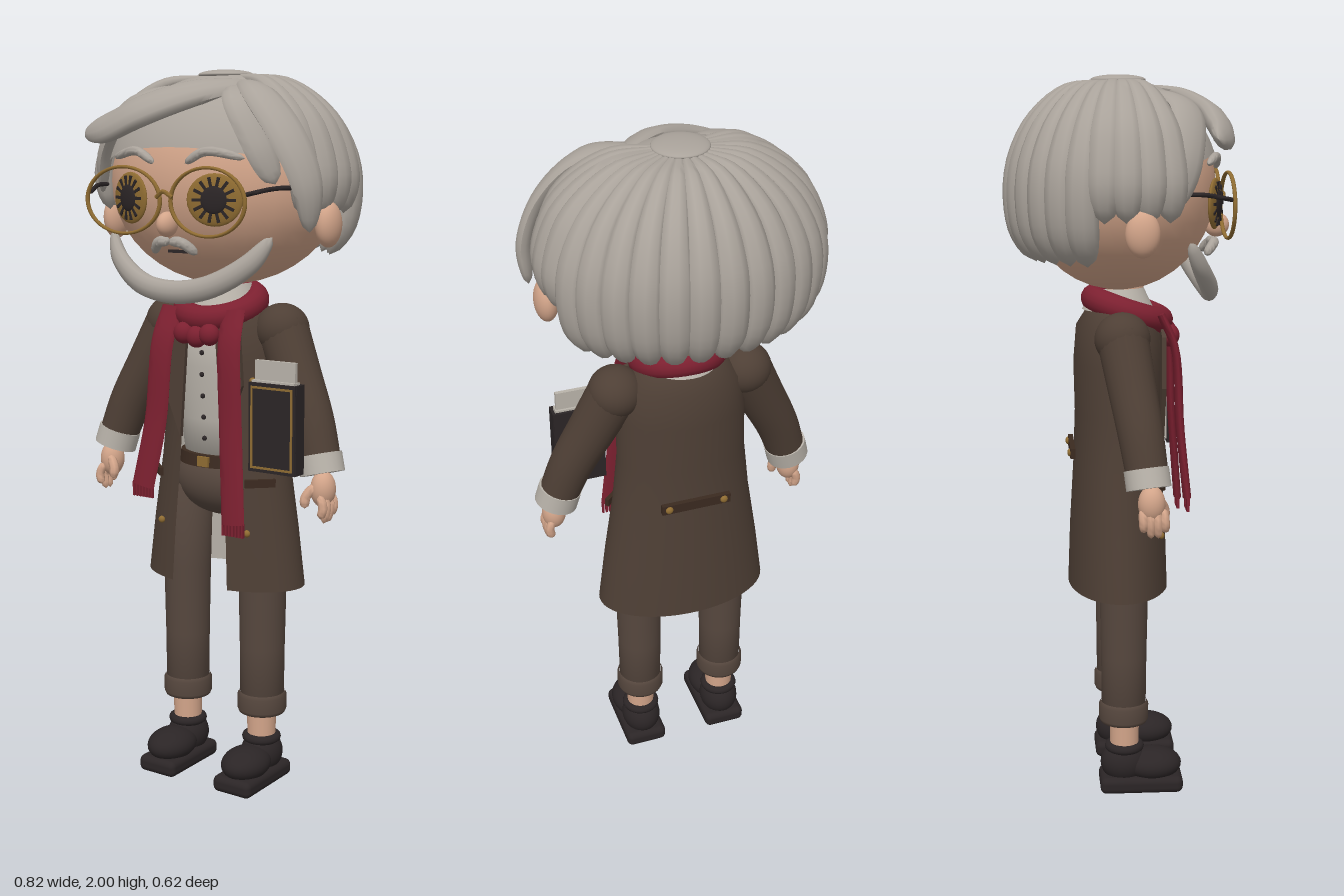
import * as THREE from 'three';
import { toCreasedNormals } from 'three/addons/utils/BufferGeometryUtils.js';
import { RoundedBoxGeometry } from 'three/addons/geometries/RoundedBoxGeometry.js';

const paint = (name, color) => Object.assign(new THREE.MeshStandardMaterial({ color }), { name });
const V = (x, y, z) => new THREE.Vector3(x, y, z);

// Sweeps an ellipse (half width w, half height h) along a curve; n is the height direction.
function loft(points, w, h, n, steps = 20, sides = 12) {
  const curve = new THREE.CatmullRomCurve3(points.map(p => V(...p)));
  const pos = [], index = [];
  for (let i = -1; i <= steps + 1; i++) {
    const t = Math.min(1, Math.max(0, i / steps));
    const end = i < 0 || i > steps ? 0 : 1;
    const p = curve.getPoint(t), T = curve.getTangent(t);
    const N = (typeof n === 'function' ? n(p) : V(...n)).addScaledVector(T, 0);
    N.addScaledVector(T, -N.dot(T)).normalize();
    const B = N.clone().cross(T);
    for (let j = 0; j < sides; j++) {
      const a = j / sides * Math.PI * 2;
      const q = p.clone().addScaledVector(B, end * w(t) * Math.cos(a)).addScaledVector(N, end * h(t) * Math.sin(a));
      pos.push(q.x, q.y, q.z);
    }
  }
  for (let i = 0; i < steps + 2; i++) for (let j = 0; j < sides; j++) {
    const k = (j + 1) % sides, a = i * sides + j, b = i * sides + k;
    index.push(a, b, a + sides, b, b + sides, a + sides);
  }
  const g = new THREE.BufferGeometry();
  g.setAttribute('position', new THREE.Float32BufferAttribute(pos, 3));
  g.setIndex(index);
  return toCreasedNormals(g, 1);
}

export function createModel() {
  const root = new THREE.Group();
  const skin = paint('skin', 0xd3a58a), hair = paint('grey hair', 0xaaa39b), coatMat = paint('coat brown', 0x4e3f35);
  const trousers = paint('trouser brown', 0x56473e), red = paint('scarf red', 0x7c2030), dark = paint('dark leather', 0x2b2526);
  const gold = paint('gold', 0x8f6c32), cream = paint('shirt cream', 0xb9b3aa), strapMat = paint('strap brown', 0x3b2a20);

  const add = (name, geo, mat, x = 0, y = 0, z = 0) => {
    const m = new THREE.Mesh(geo, mat);
    m.name = name;
    m.position.set(x, y, z);
    root.add(m);
    return m;
  };
  const ball = (name, mat, x, y, z, rx, ry, rz) => add(name, new THREE.SphereGeometry(1, 28, 20).scale(rx, ry, rz), mat, x, y, z);
  const box = (name, mat, x, y, z, w, h, d) => add(name, new THREE.BoxGeometry(w, h, d), mat, x, y, z);
  const lathe = (pts, start = 0) => new THREE.LatheGeometry(pts.map(p => new THREE.Vector2(...p)), 48, start, Math.PI * 2 - 2 * start);
  const both = fn => [-1, 1].forEach(s => fn(s, s > 0 ? 'left' : 'right'));
  const round = r => t => r * Math.sqrt(Math.max(0, 1 - (2 * t - 1) ** 4));
  const fromHead = p => p.clone().sub(V(0, 1.68, 0));

  // Head and neck
  ball('head', skin, 0, 1.7, 0, 0.34, 0.28, 0.265);
  add('neck', new THREE.CylinderGeometry(0.05, 0.055, 0.14, 24), skin, 0, 1.39, 0.02);
  ball('nose', skin, 0, 1.595, 0.272, 0.025, 0.033, 0.035);
  box('mouth', dark, 0, 1.522, 0.224, 0.06, 0.008, 0.008);

  // Hair cap, crown and radiating locks
  add('hairCap', new THREE.SphereGeometry(1, 40, 20, 0, Math.PI * 2, 0, Math.PI / 2).rotateX(-0.32).scale(0.35, 0.285, 0.274), hair, 0, 1.703, 0);
  ball('crown', hair, 0, 1.983, 0, 0.075, 0.014, 0.075);
  const profile = [[0.17, 1.975], [0.5, 1.955], [0.82, 1.865], [0.98, 1.73], [0.96, 1.6], [0.83, 1.505]];
  for (let i = 0; i < 20; i++) {
    const u = (i - 9.5) * 0.21, short = Math.abs(u) > 1.35;
    const path = profile.slice(0, short ? 5 : 6).map(([r, y], k) => [0.36 * r * Math.sin(u), y + (short && k === 4 ? 0.02 : 0), -0.285 * r * Math.cos(u)]);
    const width = t => (0.012 + 0.033 * Math.min(1, t * 1.8)) * (t > 0.75 ? Math.sqrt(Math.max(0, 1 - ((t - 0.75) / 0.25) ** 2)) : 1);
    add('hairLock', loft(path, width, t => width(t) * 0.75, fromHead, 22, 10), hair);
  }
  // Swept fringe and parting locks
  add('fringe', loft([[0.12, 1.955, 0.08], [0.02, 1.93, 0.18], [-0.1, 1.885, 0.245], [-0.2, 1.845, 0.255], [-0.3, 1.83, 0.235]],
    t => 0.058 * Math.sqrt(Math.max(0, 1 - (1.9 * t - 0.9) ** 2)), t => 0.03 * Math.sqrt(Math.max(0, 1 - (2 * t - 1) ** 2)), fromHead, 30), hair);
  add('sideSweep', loft([[0.11, 1.96, 0.07], [0.21, 1.92, 0.15], [0.31, 1.82, 0.18], [0.365, 1.7, 0.175], [0.365, 1.58, 0.16]],
    t => 0.055 * Math.sqrt(Math.max(0, 1 - (1.9 * t - 0.9) ** 2)), round(0.022), fromHead, 28), hair);
  add('partingLock', loft([[0.1, 1.95, 0.1], [0.17, 1.9, 0.19], [0.235, 1.8, 0.205], [0.275, 1.7, 0.18]],
    round(0.042), round(0.016), fromHead), hair);
  add('templeLock', loft([[-0.08, 1.95, 0.1], [-0.2, 1.9, 0.165], [-0.29, 1.79, 0.155], [-0.325, 1.66, 0.12]],
    round(0.052), round(0.02), fromHead), hair);

  // Beard along the jaw
  add('beard', loft([[-0.26, 1.565, 0.17], [-0.21, 1.495, 0.205], [-0.11, 1.435, 0.24], [0, 1.417, 0.25], [0.11, 1.435, 0.24], [0.21, 1.495, 0.205], [0.26, 1.565, 0.17]],
    round(0.024), round(0.031), [0, 1, 0.01], 40), hair);

  both((s, side) => {
    // Face details
    ball(side + 'Ear', skin, s * 0.35, 1.595, 0.04, 0.032, 0.06, 0.045);
    add(side + 'Eyebrow', loft([[s * 0.05, 1.752, 0.262], [s * 0.11, 1.782, 0.255], [s * 0.21, 1.765, 0.222]], round(0.012), round(0.012), [0, 0, 1]), hair);
    add(side + 'Moustache', loft([[0, 1.55, 0.262], [s * 0.035, 1.548, 0.26], [s * 0.07, 1.518, 0.235]], round(0.014), round(0.014), [0, 0, 1]), hair);

    // Eye with radiating iris
    const eye = new THREE.Group();
    eye.name = side + 'Eye';
    const part = (name, geo, mat, z) => {
      const m = new THREE.Mesh(geo, mat);
      m.name = name;
      m.position.z = z;
      eye.add(m);
      return m;
    };
    part('iris', new THREE.SphereGeometry(1, 28, 14).scale(0.075, 0.068, 0.012), gold, 0);
    part('pupil', new THREE.SphereGeometry(1, 24, 12).scale(0.036, 0.036, 0.008), dark, 0.009);
    for (let i = 0; i < 14; i++) {
      const a = i / 14 * Math.PI * 2;
      part('irisRay', new THREE.BoxGeometry(0.026, 0.008, 0.008).translate(0.046, 0, 0).rotateZ(a), dark, 0.007);
    }
    eye.position.set(s * 0.135, 1.66, 0.25);
    eye.rotation.y = s * 0.33;
    root.add(eye);

    // Spectacles
    const rim = add(side + 'SpectacleRim', new THREE.TorusGeometry(1, 0.05, 10, 44).scale(0.118, 0.087, 0.11), gold, s * 0.135, 1.655, 0.284);
    rim.rotation.y = s * -0.03;
    add(side + 'SpectacleArm', loft([[s * 0.245, 1.675, 0.282], [s * 0.285, 1.69, 0.2], [s * 0.31, 1.69, 0.1]], () => 0.006, () => 0.006, [0, 1, 0], 10, 8), dark);

    // Arm, cuff and hand
    ball(side + 'Shoulder', coatMat, s * 0.185, 1.305, 0, 0.075, 0.072, 0.075);
    add(side + 'Sleeve', loft([[s * 0.185, 1.31, 0], [s * 0.245, 1.19, 0.02], [s * 0.305, 1.07, 0.04], [s * 0.343, 0.965, 0.055]],
      t => 0.072 - 0.016 * t, t => 0.07 - 0.014 * t, [0, 0, 1], 20, 20), coatMat);
    add(side + 'Cuff', loft([[s * 0.338, 0.985, 0.052], [s * 0.345, 0.96, 0.055], [s * 0.352, 0.935, 0.058]], () => 0.061, () => 0.06, [0, 0, 1], 6, 24), cream);
    ball(side + 'Palm', skin, s * 0.358, 0.895, 0.065, 0.034, 0.05, 0.036);
    for (let f = 0; f < 4; f++) {
      const z = 0.04 + f * 0.019, low = f % 3 ? 0.805 : 0.822;
      add(side + 'Finger', loft([[s * 0.366, 0.885, z], [s * 0.378, 0.85, z + 0.002], [s * 0.37, low, z + 0.004]], round(0.013), round(0.012), [0, 0, 1], 10, 8), skin);
    }
    add(side + 'Thumb', loft([[s * 0.35, 0.91, 0.085], [s * 0.325, 0.875, 0.1], [s * 0.325, 0.845, 0.105]], round(0.014), round(0.014), [0, 0, 1], 10, 8), skin);

    // Leg, ankle and shoe
    add(side + 'Leg', lathe([[0, 0.21], [0.062, 0.21], [0.064, 0.4], [0.068, 0.6], [0.075, 0.85], [0, 0.87]]), trousers, s * 0.13, 0, 0.008);
    add(side + 'TurnUp', lathe([[0.05, 0.205], [0.066, 0.205], [0.07, 0.215], [0.07, 0.255], [0.064, 0.265]]), trousers, s * 0.13, 0, 0.008);
    add(side + 'Ankle', new THREE.CylinderGeometry(0.042, 0.04, 0.14, 20), skin, s * 0.13, 0.16, 0.01);
    add(side + 'Sole', new RoundedBoxGeometry(0.125, 0.048, 0.235, 3, 0.018), dark, s * 0.13, 0.024, 0.057);
    ball(side + 'ShoeToe', dark, s * 0.13, 0.072, 0.09, 0.066, 0.046, 0.083);
    ball(side + 'ShoeHeel', dark, s * 0.13, 0.08, 0.008, 0.058, 0.06, 0.066);
    add(side + 'ShoeOpening', new THREE.TorusGeometry(0.043, 0.013, 10, 24).rotateX(Math.PI / 2), dark, s * 0.13, 0.127, 0.01);

    // Coat pockets, buttons and lapels
    const pocket = box(side + 'Pocket', strapMat, s * 0.172, 0.89, 0.088, 0.085, 0.022, 0.012);
    pocket.rotation.y = s * 0.75;
    [0.75, 1.17].forEach(y => ball(side + 'CoatButton', gold, s * 0.145, y, y < 1 ? 0.112 : 0.085, 0.01, 0.01, 0.008));
    const lapel = new THREE.Shape([[0.045, 1.33], [0.125, 1.3], [0.135, 1.16], [0.07, 1]].map(p => new THREE.Vector2(s * p[0], p[1])));
    add(side + 'Lapel', new THREE.ExtrudeGeometry(lapel, { depth: 0.012, bevelEnabled: false }), coatMat, 0, 0, 0.112);

    // Hanging scarf end with fringe
    const end = s > 0 ? [0.148, 0.79, 0.185] : [-0.158, 0.86, 0.18];
    add(side + 'ScarfTail', loft([[s * 0.1, 1.36, 0.11], [s * 0.11, 1.27, 0.148], [s * 0.125, 1.05, 0.163], end], () => 0.037, () => 0.011, [0, 0, 1], 16, 16), red);
    for (let i = -3; i <= 3; i++) box(side + 'ScarfFringe', red, end[0] + i * 0.0105, end[1] - 0.012, end[2], 0.006, 0.04, 0.008);
  });
  add('spectacleBridge', loft([[-0.025, 1.665, 0.285], [0, 1.68, 0.29], [0.025, 1.665, 0.285]], () => 0.006, () => 0.006, [0, 0, 1], 8, 8), gold);

  // Open coat with a pale lining
  const coatPts = [[0.25, 0.585], [0.228, 0.75], [0.2, 0.93], [0.184, 1.08], [0.182, 1.22], [0.166, 1.32], [0.12, 1.37], [0.075, 1.395]];
  const flatten = (g, k = 1) => {
    const p = g.attributes.position;
    for (let i = 0; i < p.count; i++) {
      const f = THREE.MathUtils.mapLinear(p.getY(i), 0.585, 1.3, 0.57, 0.7);
      p.setXYZ(i, p.getX(i) * k, p.getY(i), p.getZ(i) * f * k);
    }
    g.computeVertexNormals();
    return g;
  };
  add('coat', flatten(lathe(coatPts, 0.38)), coatMat);
  add('coatLining', flatten(lathe([...coatPts].reverse(), 0.38), 0.97), cream);
  box('backStrap', strapMat, 0, 0.975, -0.131, 0.2, 0.028, 0.014);
  both((s, side) => ball(side + 'StrapButton', gold, s * 0.08, 0.975, -0.138, 0.011, 0.011, 0.008));

  // Shirt, collar, hips and belt
  add('shirt', lathe([[0, 0.92], [0.12, 0.92], [0.14, 1.05], [0.158, 1.2], [0.145, 1.3], [0.07, 1.375], [0, 1.38]]).scale(1, 1, 0.74), cream);
  add('collar', new THREE.CylinderGeometry(0.07, 0.1, 0.06, 28, 1, true), cream, 0, 1.395, 0);
  for (let i = 0; i < 5; i++) ball('shirtButton', dark, 0, 1.0 + i * 0.06, 0.106 + Math.min(i, 3) * 0.004, 0.007, 0.007, 0.006);
  ball('hips', trousers, 0, 0.87, 0, 0.16, 0.105, 0.105);
  add('belt', new THREE.CylinderGeometry(0.135, 0.14, 0.034, 40).scale(1, 1, 0.8), strapMat, 0, 0.935, 0);
  box('buckle', gold, 0, 0.935, 0.113, 0.036, 0.028, 0.008);

  // Scarf ring and knot
  const ring = add('scarfRing', new THREE.TorusGeometry(0.1, 0.036, 14, 40).rotateX(Math.PI / 2).scale(1, 1, 0.98), red, 0, 1.365, 0.025);
  ring.rotation.x = 0.32;
  [-0.042, 0, 0.042].forEach(x => ball('scarfKnot', red, x, x ? 1.295 : 1.287, 0.142, 0.03, 0.03, 0.026));

  // Book held at the left side
  box('bookPages', cream, 0.255, 1.07, 0.142, 0.132, 0.235, 0.03);
  [0.123, 0.161].forEach(z => box('bookCover', dark, 0.257, 1.062, z, 0.145, 0.24, 0.009));
  box('bookSpine', dark, 0.327, 1.062, 0.142, 0.008, 0.24, 0.04);
  box('loosePapers', cream, 0.255, 1.19, 0.14, 0.125, 0.1, 0.012);
  both(s => {
    box('bookTrim', gold, 0.257 + s * 0.062, 1.062, 0.166, 0.006, 0.222, 0.004);
    box('bookTrim', gold, 0.257, 1.062 + s * 0.108, 0.166, 0.13, 0.006, 0.004);
  });
  return root;
}
